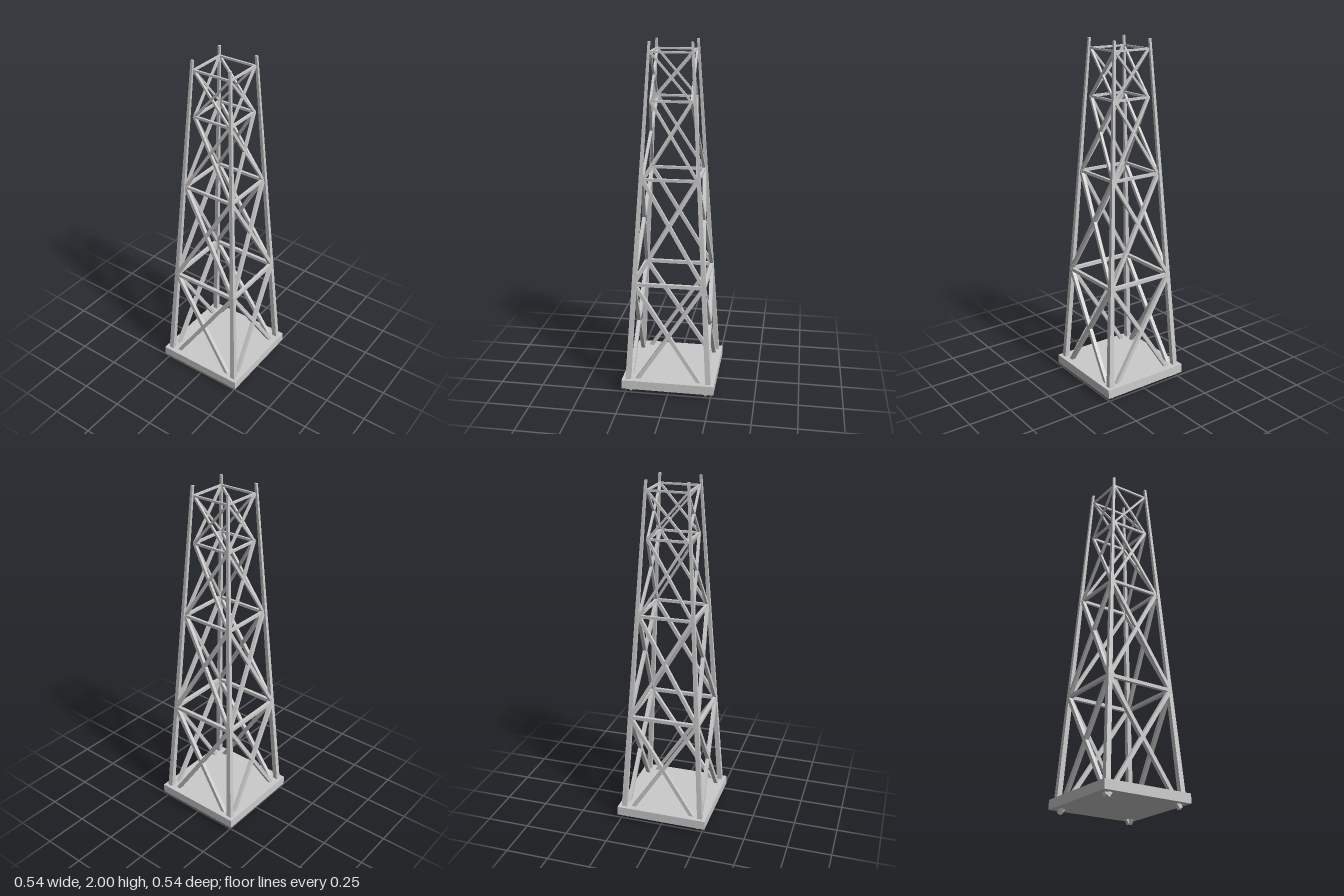
import * as THREE from 'three';

const material = new THREE.MeshStandardMaterial({ color: 0xcccccc, flatShading: true });

// Square bar between two points, one pair of sides facing along the face normal
function bar(name, a, b, size) {
  const mesh = new THREE.Mesh(new THREE.BoxGeometry(size, size, a.distanceTo(b)), material);
  const m = new THREE.Matrix4().lookAt(a, b, new THREE.Vector3(0, 0, 1));
  mesh.quaternion.setFromRotationMatrix(m);
  mesh.position.copy(a).add(b).multiplyScalar(0.5);
  mesh.name = name;
  return mesh;
}

// Leaning, tapering corner leg with level ends
function leg(sx, sz) {
  const geo = new THREE.BoxGeometry(1, 1, 1);
  const p = geo.attributes.position;
  for (let i = 0; i < p.count; i++) {
    const top = p.getY(i) > 0;
    const centre = top ? 0.1155 : 0.236;
    const width = top ? 0.0135 : 0.03;
    p.setXYZ(i, sx * centre + p.getX(i) * width, top ? 2 : 0.04, sz * centre + p.getZ(i) * width);
  }
  geo.computeVertexNormals();
  const mesh = new THREE.Mesh(geo, material);
  mesh.name = 'leg';
  return mesh;
}

// Bracing nodes: height, half width, thickness of ring bar, thickness of diagonals above
const levels = [
  { y: 0.01, r: 0.226, ring: 0, brace: 0.022 },
  { y: 0.66, r: 0.2, ring: 0.02, brace: 0.02 },
  { y: 1.26, r: 0.153, ring: 0.016, brace: 0.015 },
  { y: 1.685, r: 0.112, ring: 0.013, brace: 0.012 },
  { y: 1.945, r: 0.112, ring: 0.011, brace: 0 },
];

// One braced side of the tower, built facing +z
function bracedSide() {
  const side = new THREE.Group();
  side.name = 'bracedSide';
  levels.forEach((l, i) => {
    if (l.ring) {
      const h = l.r + l.ring / 2;
      side.add(bar('crossbar', new THREE.Vector3(-h, l.y, l.r), new THREE.Vector3(h, l.y, l.r), l.ring));
    }
    const n = levels[i + 1];
    if (!n) return;
    for (const s of [-1, 1]) {
      side.add(bar('diagonalBrace', new THREE.Vector3(s * l.r, l.y, l.r),
        new THREE.Vector3(-s * n.r, n.y, n.r), l.brace));
    }
  });
  return side;
}

export function createModel() {
  const tower = new THREE.Group();
  tower.name = 'latticeTower';

  // Base slab
  const base = new THREE.Mesh(new THREE.BoxGeometry(0.536, 0.053, 0.536), material);
  base.position.y = 0.0585;
  base.name = 'baseSlab';
  tower.add(base);

  // Legs
  for (const sx of [-1, 1]) for (const sz of [-1, 1]) tower.add(leg(sx, sz));

  // Bracing on all four sides
  for (let i = 0; i < 4; i++) {
    const side = bracedSide();
    side.rotation.y = i * Math.PI / 2;
    tower.add(side);
  }
  return tower;
}
